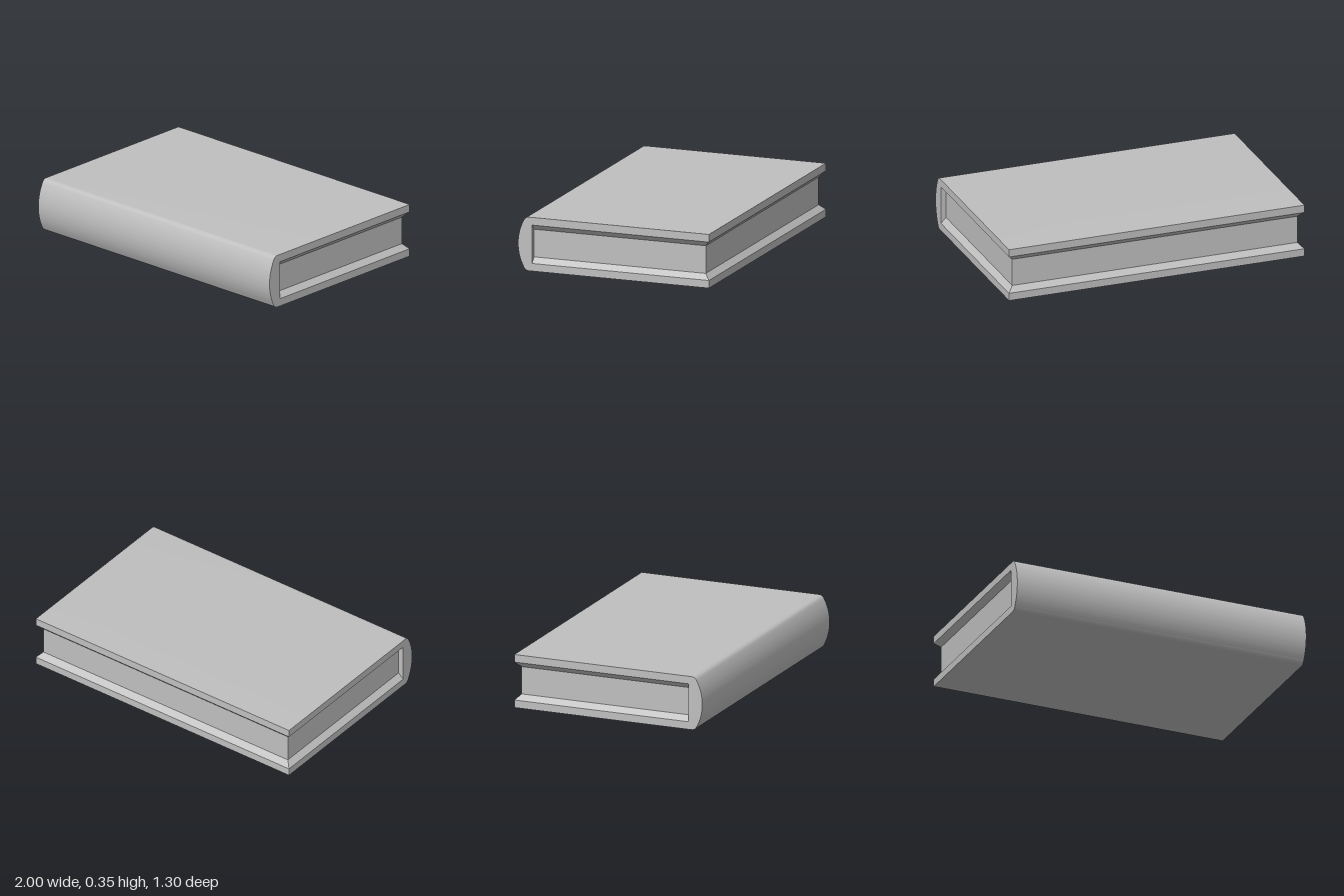
import * as THREE from 'three';
import { toCreasedNormals } from 'three/addons/utils/BufferGeometryUtils.js';

const HEIGHT = 0.35, BACK = -0.648, INNER = 0.555, BOARD = 0.05, BEVEL = 0.035;

// Cover: U-shaped section with a rounded spine, extruded along x
function coverGeometry() {
  const mid = HEIGHT / 2, radius = 0.32, angle = 0.505;
  const s = new THREE.Shape();
  s.moveTo(BACK, 0);
  s.lineTo(0.576, 0);
  s.quadraticCurveTo(0.599, 0, 0.61, 0.02);
  s.absarc(0.65 - radius, mid, radius, -angle, angle, false);
  s.quadraticCurveTo(0.599, HEIGHT, 0.576, HEIGHT);
  s.lineTo(BACK, HEIGHT);
  s.lineTo(BACK, HEIGHT - BOARD);
  s.lineTo(INNER, HEIGHT - BOARD);
  s.lineTo(INNER, BOARD);
  s.lineTo(BACK, BOARD);
  const g = new THREE.ExtrudeGeometry(s, { depth: 2, bevelEnabled: false, curveSegments: 20 });
  g.rotateY(-Math.PI / 2);
  g.translate(1, 0, 0);
  return toCreasedNormals(g, 0.6);
}

// Page block: recessed edges on three sides, sloping out to meet the boards
function pagesGeometry() {
  const levels = [[BOARD, 0], [BOARD + BEVEL, BEVEL],
    [HEIGHT - BOARD - BEVEL, BEVEL], [HEIGHT - BOARD, 0]];
  const rings = levels.map(([y, inset]) => {
    const x = 1 - inset, z = BACK + inset;
    return [[x, y, INNER], [x, y, z], [-x, y, z], [-x, y, INNER]];
  });
  const points = [];
  for (let i = 0; i < 3; i++) {
    for (let j = 0; j < 3; j++) {
      const a = rings[i][j], b = rings[i][j + 1], c = rings[i + 1][j + 1], d = rings[i + 1][j];
      points.push(...a, ...b, ...c, ...a, ...c, ...d);
    }
  }
  const g = new THREE.BufferGeometry();
  g.setAttribute('position', new THREE.Float32BufferAttribute(points, 3));
  g.computeVertexNormals();
  return g;
}

export function createModel() {
  const book = new THREE.Group();
  book.name = 'book';
  const grey = new THREE.MeshStandardMaterial({ color: 0xbfbfbf });
  grey.name = 'light grey';

  const cover = new THREE.Mesh(coverGeometry(), grey);
  cover.name = 'cover';
  const pages = new THREE.Mesh(pagesGeometry(), grey);
  pages.name = 'pages';
  book.add(cover, pages);
  return book;
}
